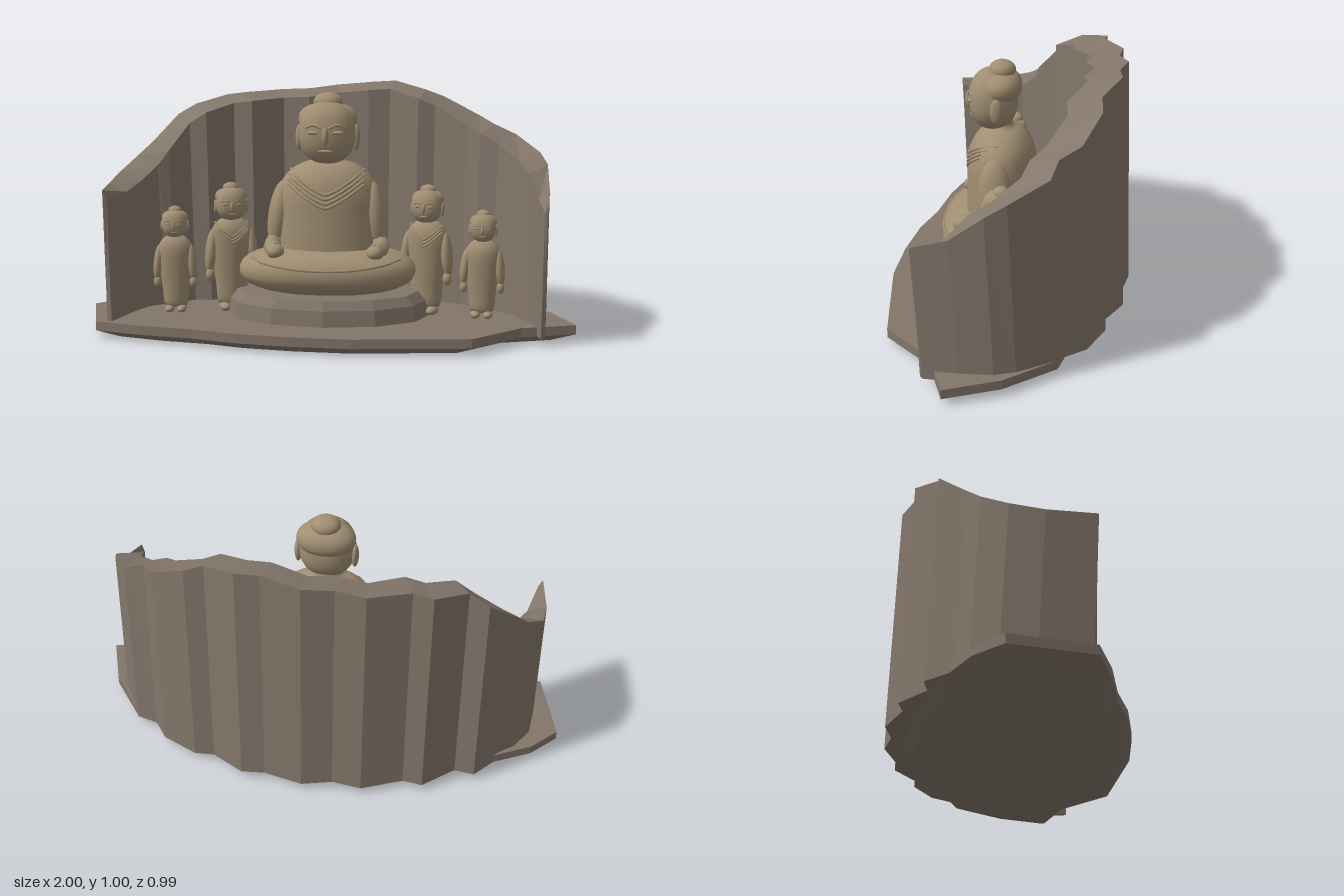
import * as THREE from 'three';

const rock = new THREE.MeshStandardMaterial({ name: 'rock', color: 0x83766a });
const carved = new THREE.MeshStandardMaterial({ name: 'carvedStone', color: 0xa08e72 });

function add(parent, name, geometry, material, pos = [0, 0, 0]) {
  const m = new THREE.Mesh(geometry, material);
  m.name = name;
  m.position.set(...pos);
  parent.add(m);
  return m;
}

// Faceted skin over a list of closed rings, capped at both ends
function loft(rings) {
  const out = [];
  const tri = (a, b, c) => out.push(...a, ...b, ...c);
  const n = rings[0].length;
  for (let i = 0; i < rings.length - 1; i++) {
    const a = rings[i], b = rings[i + 1];
    for (let k = 0; k < n; k++) {
      const l = (k + 1) % n;
      tri(a[k], a[l], b[l]);
      tri(a[k], b[l], b[k]);
    }
  }
  const middle = (r) => [0, 1, 2].map((c) => r.reduce((s, p) => s + p[c], 0) / n);
  const first = rings[0], last = rings[rings.length - 1];
  const m0 = middle(first), m1 = middle(last);
  for (let k = 0; k < n; k++) {
    const l = (k + 1) % n;
    tri(m0, first[l], first[k]);
    tri(m1, last[k], last[l]);
  }
  const g = new THREE.BufferGeometry();
  g.setAttribute('position', new THREE.Float32BufferAttribute(out, 3));
  g.computeVertexNormals();
  return g;
}

// Ellipsoid; a power above 2 makes it squarer
function blob(rx, ry, rz, power = 2) {
  const g = new THREE.SphereGeometry(1, 28, 20);
  const p = g.attributes.position, v = new THREE.Vector3();
  for (let i = 0; i < p.count; i++) {
    v.fromBufferAttribute(p, i);
    const s = [v.x, v.y, v.z].reduce((t, c) => t + Math.abs(c) ** power, 0) ** (-1 / power);
    p.setXYZ(i, v.x * s, v.y * s, v.z * s);
  }
  if (power !== 2) g.computeVertexNormals();
  return g.scale(rx, ry, rz);
}

function tube(points, radius) {
  const curve = new THREE.CatmullRomCurve3(points.map((p) => new THREE.Vector3(...p)));
  return new THREE.TubeGeometry(curve, 24, radius, 8);
}

// Robe turned from a [radius, y] profile and flattened in depth, with folds on the chest
function robe(parent, profile, depth, fold) {
  const curve = new THREE.SplineCurve(profile.map((p) => new THREE.Vector2(...p)));
  const g = new THREE.LatheGeometry(curve.getPoints(24), 32).scale(1, 1, depth);
  add(parent, 'robe', g, carved);
  const radiusAt = (y) => {
    const i = Math.max(1, profile.findIndex((p) => p[1] >= y));
    const [r0, y0] = profile[i - 1], [r1, y1] = profile[i];
    return r0 + (r1 - r0) * (y - y0) / (y1 - y0);
  };
  for (let f = 0; f < fold.count; f++) {
    const pts = [];
    for (let k = -5; k <= 5; k++) {
      const t = Math.abs(k) / 5, x = fold.width * k / 5;
      const y = fold.low + f * fold.gap + (fold.high - fold.low) * t ** 1.3;
      pts.push([x, y, depth * Math.sqrt(Math.max(radiusAt(y) ** 2 - x * x, 0)) + 0.002]);
    }
    add(parent, 'robeFold', tube(pts, fold.radius), carved);
  }
}

function makeHead(parent, pos) {
  const head = new THREE.Group();
  head.name = 'head';
  head.position.set(...pos);
  parent.add(head);
  add(head, 'face', blob(0.115, 0.125, 0.1, 2.3), carved);
  add(head, 'hair', blob(0.12, 0.066, 0.085, 2.2), carved, [0, 0.055, -0.03]);
  add(head, 'topKnot', blob(0.06, 0.04, 0.055), carved, [0, 0.12, -0.035]);
  add(head, 'nose', blob(0.014, 0.036, 0.016), carved, [0, -0.008, 0.1]);
  add(head, 'mouth', blob(0.03, 0.007, 0.01), carved, [0, -0.068, 0.086]);
  for (const s of [-1, 1]) {
    add(head, 'ear', blob(0.015, 0.052, 0.026), carved, [s * 0.116, -0.02, -0.02]);
    add(head, 'eye', blob(0.026, 0.009, 0.012), carved, [s * 0.046, 0.006, 0.089]);
    const brow = [[s * 0.014, 0.024, 0.099], [s * 0.045, 0.036, 0.091], [s * 0.08, 0.025, 0.074]];
    add(head, 'brow', tube(brow, 0.006), carved);
  }
}

function makeSeatedFigure() {
  const g = new THREE.Group();
  g.name = 'seatedFigure';
  add(g, 'crossedLegs', blob(0.36, 0.1, 0.215, 2.4), carved, [0, 0.258, 0.07]);
  const hem = [];
  for (let k = -6; k <= 6; k++) {
    const x = k * 0.05, y = 0.285 + 0.03 * (k / 6) ** 2;
    const rest = 1 - (Math.abs(x) / 0.36) ** 2.4 - ((y - 0.258) / 0.1) ** 2.4;
    hem.push([x, y, 0.07 + 0.215 * Math.max(rest, 0) ** (1 / 2.4)]);
  }
  add(g, 'robeHem', tube(hem, 0.006), carved);

  const torso = new THREE.Group();
  torso.name = 'torso';
  torso.position.z = 0.04;
  g.add(torso);
  robe(torso, [[0.22, 0.27], [0.215, 0.38], [0.21, 0.48], [0.205, 0.56], [0.18, 0.63],
    [0.125, 0.68], [0.065, 0.705], [0.055, 0.74]], 0.68,
  { count: 4, width: 0.15, low: 0.52, high: 0.61, gap: 0.018, radius: 0.006 });
  for (const s of [-1, 1]) {
    const upper = add(torso, 'upperArm', blob(0.05, 0.15, 0.07), carved, [s * 0.195, 0.47, 0.015]);
    upper.rotation.z = s * 0.12;
    add(torso, 'forearm', tube([[s * 0.21, 0.38, 0.03], [s * 0.22, 0.355, 0.09], [s * 0.2, 0.345, 0.14]], 0.035), carved);
    add(torso, 'hand', blob(0.036, 0.03, 0.04), carved, [s * 0.2, 0.345, 0.145]);
  }
  makeHead(g, [0, 0.815, 0.075]);
  return g;
}

// Standing figure of unit height
function makeAttendant(folds) {
  const g = new THREE.Group();
  g.name = 'attendant';
  robe(g, [[0.001, 0.05], [0.1, 0.06], [0.12, 0.2], [0.14, 0.38], [0.155, 0.54], [0.145, 0.63],
    [0.1, 0.69], [0.055, 0.715], [0.05, 0.75]], 0.72,
  { count: folds, width: 0.125, low: 0.53, high: 0.63, gap: 0.025, radius: 0.008 });
  for (const s of [-1, 1]) {
    const arm = add(g, 'arm', blob(0.045, 0.17, 0.065), carved, [s * 0.155, 0.46, 0.01]);
    arm.rotation.z = s * 0.1;
    add(g, 'hand', blob(0.035, 0.05, 0.035), carved, [s * 0.165, 0.28, 0.03]);
    add(g, 'foot', blob(0.045, 0.035, 0.085), carved, [s * 0.055, 0.035, 0.04]);
  }
  makeHead(g, [0, 0.82, 0.02]);
  return g;
}

export function createModel() {
  const model = new THREE.Group();
  model.name = 'rockNicheShrine';

  // Floor slab with an undercut edge
  const outline = [[-1, -0.03], [-0.915, 0.285], [-0.72, 0.345], [-0.505, 0.385], [-0.33, 0.44],
    [-0.115, 0.475], [0.125, 0.49], [0.585, 0.44], [0.78, 0.25], [1, 0.18], [0.92, -0.03],
    [0.78, -0.21], [0.62, -0.27], [0.4, -0.34], [0, -0.42], [-0.4, -0.36], [-0.7, -0.25], [-0.9, -0.14]];
  const slabRing = (y, s) => outline.map(([x, z]) => [x * s, y, z * s]);
  add(model, 'floorSlab', loft([slabRing(0, 0.9), slabRing(0.03, 1), slabRing(0.067, 1)]), rock);

  // Cave wall columns: outer x, outer z, crest y, inner x, inner z
  const columns = [
    [-0.87, 0.27, 0.6, -0.85, 0.28], [-0.895, 0.08, 0.6, -0.8, 0.1],
    [-0.885, -0.05, 0.63, -0.76, 0], [-0.83, -0.15, 0.69, -0.7, -0.05],
    [-0.77, -0.2, 0.75, -0.66, -0.06], [-0.68, -0.31, 0.86, -0.59, -0.14],
    [-0.6, -0.3, 0.905, -0.52, -0.14], [-0.48, -0.41, 0.94, -0.42, -0.22],
    [-0.4, -0.4, 0.95, -0.34, -0.21], [-0.24, -0.475, 0.96, -0.22, -0.29],
    [-0.12, -0.46, 0.965, -0.11, -0.275], [0, -0.495, 0.98, 0, -0.315],
    [0.16, -0.46, 0.995, 0.14, -0.275], [0.255, -0.47, 1, 0.23, -0.285],
    [0.39, -0.395, 0.965, 0.35, -0.215], [0.47, -0.4, 0.935, 0.42, -0.22],
    [0.62, -0.33, 0.86, 0.55, -0.145], [0.68, -0.25, 0.83, 0.6, -0.1],
    [0.77, -0.225, 0.79, 0.67, -0.07], [0.86, -0.08, 0.73, 0.75, 0.02],
    [0.885, 0, 0.69, 0.79, 0.1], [0.885, 0.125, 0.6, 0.83, 0.18],
    [0.87, 0.265, 0.56, 0.855, 0.275],
  ];
  const wall = columns.map(([xo, zo, y, xi, zi]) => {
    const tx = xi + (xo - xi) * 0.2, tz = zi + (zo - zi) * 0.2 + 0.02;
    return [[xo, 0.03, zo], [xo, y, zo + 0.033], [tx, y - 0.03, tz], [xi, 0.03, zi]];
  });
  add(model, 'caveWall', loft(wall), rock);

  // Twelve-sided pedestal with a bevelled top
  const pedestalRing = (y, s) => Array.from({ length: 12 }, (_, k) => {
    const a = (k / 12) * Math.PI * 2;
    return [Math.cos(a) * 0.42 * s, y, 0.05 - Math.sin(a) * 0.265 * s];
  });
  add(model, 'pedestal', loft([pedestalRing(0.06, 1), pedestalRing(0.13, 0.97), pedestalRing(0.167, 0.89)]), rock);

  model.add(makeSeatedFigure());

  // Two mirrored pairs of standing attendants
  for (const s of [-1, 1]) {
    for (const [x, z, height, turn, folds] of [[0.405, 0.02, 0.545, 0.25, 3], [0.63, 0.075, 0.45, 0.08, 0]]) {
      const a = makeAttendant(folds);
      a.position.set(s * x, 0.067, z);
      a.rotation.y = -s * turn;
      a.scale.setScalar(height);
      model.add(a);
    }
  }
  return model;
}
